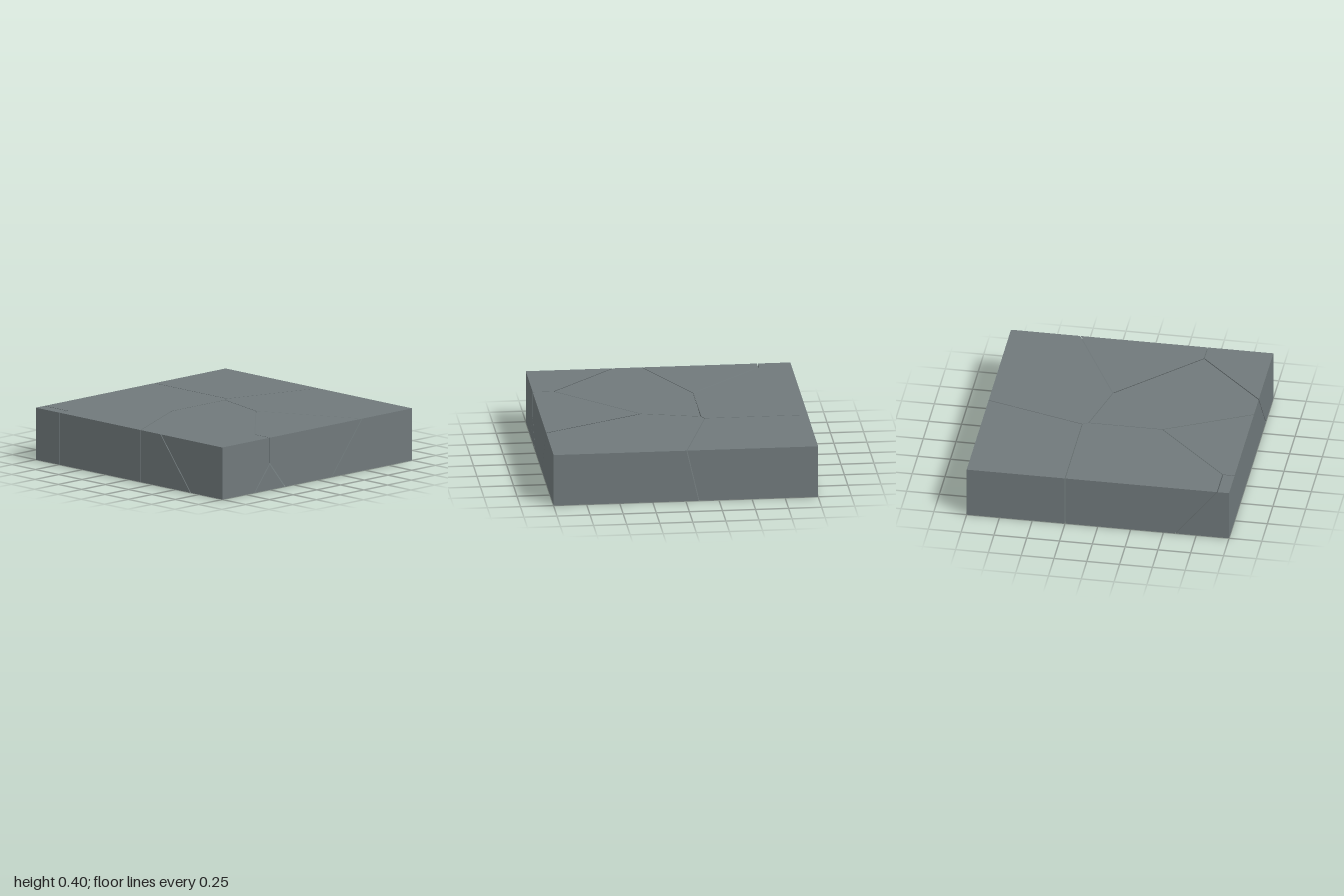
import * as THREE from 'three';
import { ConvexGeometry } from 'three/addons/geometries/ConvexGeometry.js';

const V = (x, y, z) => new THREE.Vector3(x, y, z);
const HALF_GAP = 0.003;

// One seed point inside or on the slab for each broken piece
const SEEDS = {
  backRightCornerChip: V(-1, 0, -1),
  backMiddlePiece: V(-0.5, 0.4, -1),
  backLeftPiece: V(1, 0.4, -1),
  frontLeftPiece: V(0.5, 0, 0.75),
  frontMiddlePiece: V(0, 0.4, 1),
  frontRightChip: V(-1, 0.4, 1),
  rightSidePiece: V(-1, 0, -0.5),
  centrePiece: V(-0.5, 0, 0.5),
};

// Outer faces of the slab, as outward normal n and distance d (n . p <= d)
const SLAB = [
  { n: V(1, 0, 0), d: 1 }, { n: V(-1, 0, 0), d: 1 },
  { n: V(0, 1, 0), d: 0.4 }, { n: V(0, -1, 0), d: 0 },
  { n: V(0, 0, 1), d: 1 }, { n: V(0, 0, -1), d: 1 },
];

// Crack plane halfway between two seeds, drawn back by half the gap
function crackPlane(from, to) {
  const n = to.clone().sub(from).normalize();
  const middle = from.clone().add(to).multiplyScalar(0.5);
  return { n, d: n.dot(middle) - HALF_GAP };
}

// Point where three planes meet, or null if they do not
function meet(a, b, c) {
  const bc = b.n.clone().cross(c.n);
  const det = a.n.dot(bc);
  if (Math.abs(det) < 1e-6) return null;
  return bc.multiplyScalar(a.d)
    .addScaledVector(c.n.clone().cross(a.n), b.d)
    .addScaledVector(a.n.clone().cross(b.n), c.d)
    .divideScalar(det);
}

// Corners of the convex solid bounded by the planes
function corners(planes) {
  const points = [];
  for (let i = 0; i < planes.length; i++)
    for (let j = i + 1; j < planes.length; j++)
      for (let k = j + 1; k < planes.length; k++) {
        const p = meet(planes[i], planes[j], planes[k]);
        if (!p || planes.some(({ n, d }) => n.dot(p) > d + 1e-6)) continue;
        if (!points.some((q) => q.distanceTo(p) < 1e-4)) points.push(p);
      }
  return points;
}

export function createModel() {
  const group = new THREE.Group();
  group.name = 'crackedSlab';
  const stone = new THREE.MeshStandardMaterial({ color: 0x70797b });
  stone.name = 'greyStone';

  // Each piece is the part of the slab nearest to its own seed
  for (const [name, seed] of Object.entries(SEEDS)) {
    const cracks = Object.values(SEEDS)
      .filter((other) => other !== seed)
      .map((other) => crackPlane(seed, other));
    const mesh = new THREE.Mesh(new ConvexGeometry(corners([...SLAB, ...cracks])), stone);
    mesh.name = name;
    group.add(mesh);
  }
  return group;
}
